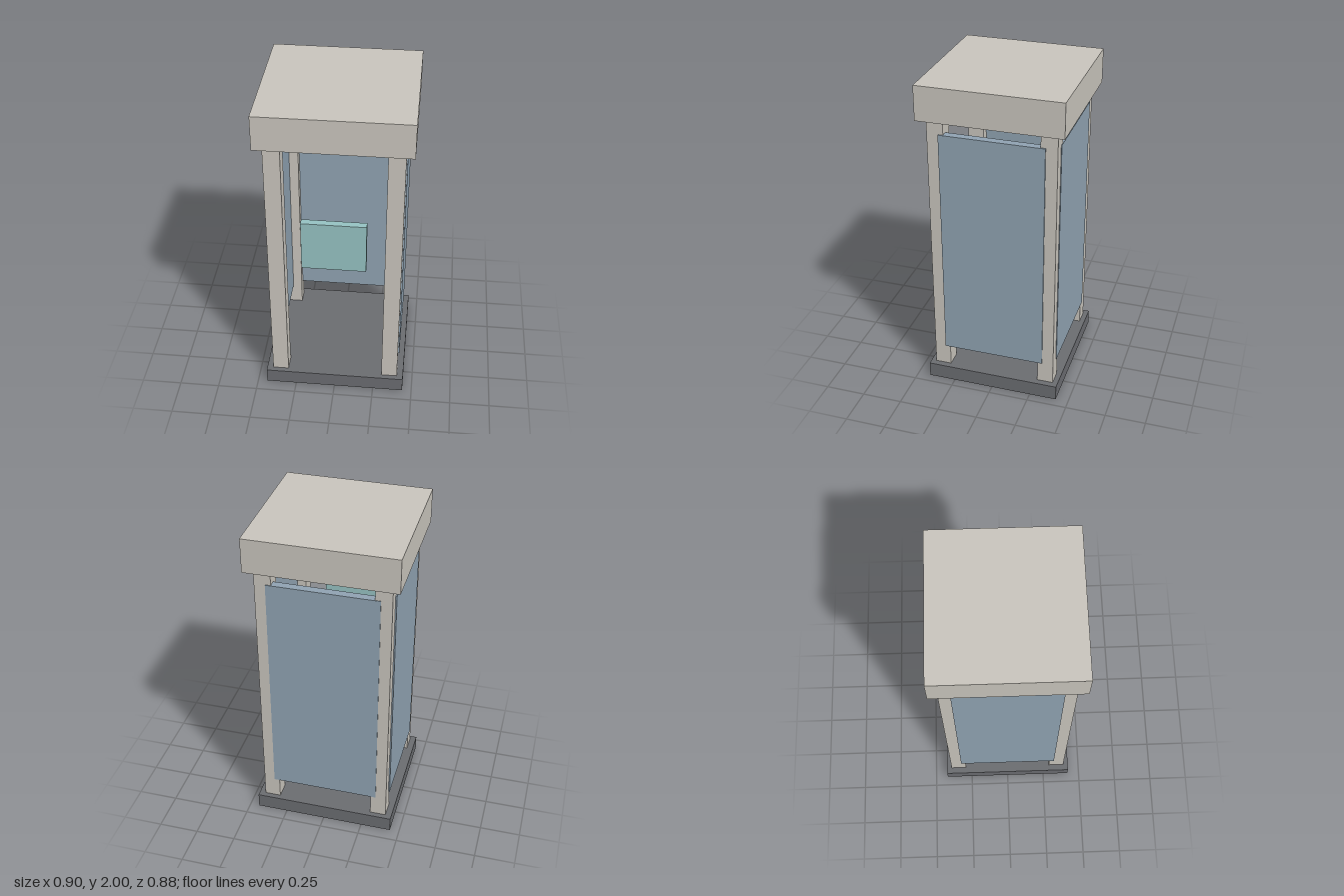
import * as THREE from 'three';

export function createModel() {
  const model = new THREE.Group();
  model.name = 'shelterBooth';

  const mat = (name, color) => {
    const m = new THREE.MeshStandardMaterial({ color });
    m.name = name;
    return m;
  };
  const stone = mat('warm grey', 0xc8c4bc);
  const slate = mat('dark grey', 0x6a6c70);
  const glass = mat('blue grey', 0x8fa2b1);
  const mint = mat('pale teal', 0x95c1c1);

  // Box given by its size, the height of its underside and its centre in x and z
  const box = (name, material, [w, h, d], bottom, x = 0, z = 0) => {
    const mesh = new THREE.Mesh(new THREE.BoxGeometry(w, h, d), material);
    mesh.name = name;
    mesh.position.set(x, bottom + h / 2, z);
    model.add(mesh);
  };

  // Floor slab and roof
  box('base', slate, [0.882, 0.095, 0.84], 0);
  box('roof', stone, [0.905, 0.213, 0.875], 1.787);

  // Corner posts
  for (const [sx, side] of [[1, 'left'], [-1, 'right']]) {
    for (const [sz, end] of [[1, 'Front'], [-1, 'Back']]) {
      box(`${side}${end}Post`, stone, [0.1, 1.692, 0.1], 0.095, sx * 0.352, sz * 0.338);
    }
    // Side wall panels, standing slightly proud of the posts
    box(`${side}Panel`, glass, [0.05, 1.465, 0.635], 0.232, sx * 0.385);
  }

  // Back wall panel
  box('backPanel', glass, [0.67, 1.465, 0.05], 0.232, 0, -0.367);

  // Board across the open front
  box('frontBoard', mint, [0.387, 0.326, 0.044], 0.962, -0.001, 0.39);

  return model;
}
